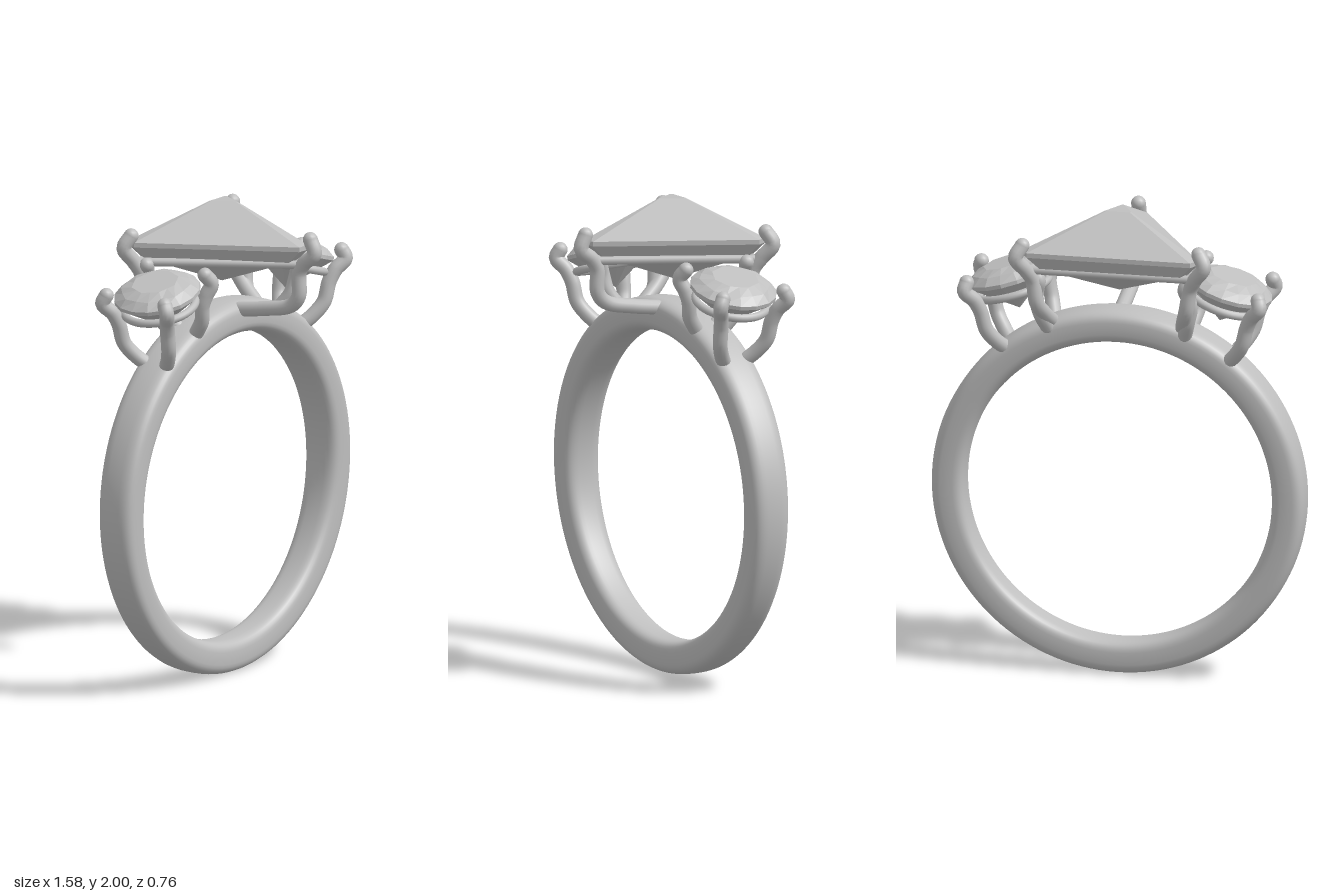
import * as THREE from 'three';
import { mergeVertices } from 'three/addons/utils/BufferGeometryUtils.js';

const V = (p) => new THREE.Vector3(...p);
const BAND_Z = -0.105;

// Faceted solid lofted through equal-length rings listed from top to bottom
function facetedLoft(rings) {
  const pos = [];
  const tri = (a, b, c) => {
    const n = V(b).sub(V(a)).cross(V(c).sub(V(a)));
    if (n.length() > 1e-8) pos.push(...a, ...b, ...c);
  };
  for (let i = 0; i < rings.length - 1; i++) {
    const p = rings[i], q = rings[i + 1];
    for (let j = 0; j < p.length; j++) {
      const k = (j + 1) % p.length;
      tri(q[j], q[k], p[k]);
      tri(q[j], p[k], p[j]);
    }
  }
  const g = new THREE.BufferGeometry();
  g.setAttribute('position', new THREE.Float32BufferAttribute(pos, 3));
  g.computeVertexNormals();
  return g;
}

// Band: torus whose section becomes a rounded rectangle, narrower at the bottom
function bandGeometry() {
  const R = 0.718, halfThick = 0.07;
  let g = new THREE.TorusGeometry(R, halfThick, 32, 128);
  const p = g.attributes.position;
  const soft = (t, e) => Math.sign(t) * Math.pow(Math.abs(t), e);
  for (let i = 0; i < p.count; i++) {
    const x = p.getX(i), y = p.getY(i), rho = Math.hypot(x, y);
    const v = Math.atan2(p.getZ(i), rho - R);
    const halfWidth = 0.086 + 0.01 * (y / rho);
    const r = R + halfThick * soft(Math.cos(v), 0.62);
    p.setXYZ(i, x / rho * r, y / rho * r, halfWidth * soft(Math.sin(v), 0.62));
  }
  g.deleteAttribute('uv');
  g.deleteAttribute('normal');
  g = mergeVertices(g, 1e-5);
  g.computeVertexNormals();
  return g;
}

// Three-sided stone with blunt corners
function triangleStoneGeometry() {
  const outline = [[0.03, 0.3], [0.37, -0.3], [0.345, -0.345],
    [-0.345, -0.345], [-0.37, -0.3], [-0.03, 0.3]];
  const table = [[0.004, -0.045], [0.055, -0.138], [0.05, -0.145],
    [-0.05, -0.145], [-0.055, -0.138], [-0.004, -0.045]];
  const cz = -0.12;
  const ring = (s, y) => outline.map(([x, z]) => [x * s, y, cz + (z - cz) * s]);
  return facetedLoft([
    outline.map(() => [0, 2, cz]),
    table.map(([x, z]) => [x, 2, z]),
    ring(1, 1.86), ring(1, 1.84), ring(0.86, 1.785), ring(0, 1.655),
  ]);
}

// Round stone centred on its girdle
function roundStoneGeometry() {
  const n = 16;
  const ring = (even, odd, y) => Array.from({ length: n }, (_, i) => {
    const a = i / n * Math.PI * 2, r = i % 2 ? odd : even;
    return [r * Math.sin(a), y, r * Math.cos(a)];
  });
  const flat = Math.cos(Math.PI / 8);
  return facetedLoft([
    ring(0, 0, 0.055), ring(0.1, 0.1 * flat, 0.055), ring(0.142, 0.15, 0.036),
    ring(0.182, 0.182, 0.008), ring(0.182, 0.182, -0.008), ring(0, 0, -0.15),
  ]);
}

export function createModel() {
  const model = new THREE.Group();
  model.name = 'ring';
  const metal = new THREE.MeshStandardMaterial({ color: 0xbfbfbf });
  metal.name = 'pale grey';

  const add = (parent, name, geometry, at = [0, 0, 0]) => {
    const m = new THREE.Mesh(geometry, metal);
    m.name = name;
    m.position.set(...at);
    parent.add(m);
    return m;
  };

  // Wire through points with rounded ends
  const wire = (parent, name, points, radius) => {
    const group = new THREE.Group();
    group.name = name;
    parent.add(group);
    const curve = new THREE.CatmullRomCurve3(points.map(V), false, 'centripetal');
    add(group, name + 'Wire', new THREE.TubeGeometry(curve, 40, radius, 14));
    for (const p of [points[0], points[points.length - 1]])
      add(group, name + 'End', new THREE.SphereGeometry(radius, 14, 10), p);
  };

  add(model, 'band', bandGeometry(), [0, 0.788, BAND_Z]);

  // Centre setting
  const centre = new THREE.Group();
  centre.name = 'centreSetting';
  model.add(centre);
  add(centre, 'centreStone', triangleStoneGeometry());
  wire(centre, 'frontProng', [[0.012, 1.89, 0.325], [0.012, 1.83, 0.347], [0.012, 1.785, 0.295],
    [0.012, 1.74, 0.268], [0.012, 1.64, 0.265], [0.012, 1.595, 0.225], [0.01, 1.565, 0.1],
    [0.008, 1.545, -0.03]], 0.031);
  wire(centre, 'backRightProng', [[-0.375, 1.89, -0.31], [-0.4, 1.84, -0.33], [-0.36, 1.78, -0.31],
    [-0.335, 1.73, -0.29], [-0.315, 1.63, -0.28], [-0.295, 1.57, -0.23], [-0.27, 1.5, -0.14]], 0.031);
  wire(centre, 'backLeftProng', [[0.365, 1.89, -0.335], [0.39, 1.84, -0.355], [0.355, 1.78, -0.32],
    [0.33, 1.73, -0.295], [0.315, 1.63, -0.285], [0.295, 1.57, -0.23], [0.27, 1.5, -0.14]], 0.031);
  const corners = [[0.012, 1.775, 0.275], [0.345, 1.775, -0.3], [-0.345, 1.775, -0.3]];
  corners.forEach((c, i) => wire(centre, 'centreRail', [c, corners[(i + 1) % 3]], 0.018));

  // Mirrored side settings, tilted away from the centre
  for (const s of [1, -1]) {
    const side = new THREE.Group();
    side.name = s > 0 ? 'leftSetting' : 'rightSetting';
    model.add(side);

    const head = new THREE.Group();
    head.name = 'tiltedHead';
    head.position.set(s * 0.465, 1.69, BAND_Z - 0.004);
    head.rotation.z = -s * 0.29;
    side.add(head);
    add(head, 'sideStone', roundStoneGeometry());
    const rail = new THREE.TorusGeometry(0.15, 0.017, 12, 48);
    rail.rotateX(Math.PI / 2);
    add(head, 'sideRail', rail, [0, -0.06, 0]);

    // Prong points as [x, y, distance from band centre plane]
    const outer = [[0.615, 1.69, 0.15], [0.622, 1.655, 0.165], [0.585, 1.61, 0.14],
      [0.562, 1.56, 0.125], [0.54, 1.48, 0.115], [0.505, 1.425, 0.085], [0.47, 1.385, 0.05]];
    const inner = [[0.335, 1.765, 0.15], [0.31, 1.725, 0.165], [0.32, 1.675, 0.145],
      [0.325, 1.63, 0.13], [0.31, 1.56, 0.115], [0.29, 1.495, 0.07]];
    for (const f of [1, -1]) {
      const place = (pts) => pts.map(([x, y, d]) => [s * x, y, BAND_Z - 0.005 + f * d]);
      const end = f > 0 ? 'Front' : 'Back';
      wire(side, 'outer' + end + 'Prong', place(outer), 0.031);
      wire(side, 'inner' + end + 'Prong', place(inner), 0.031);
    }
  }
  return model;
}
